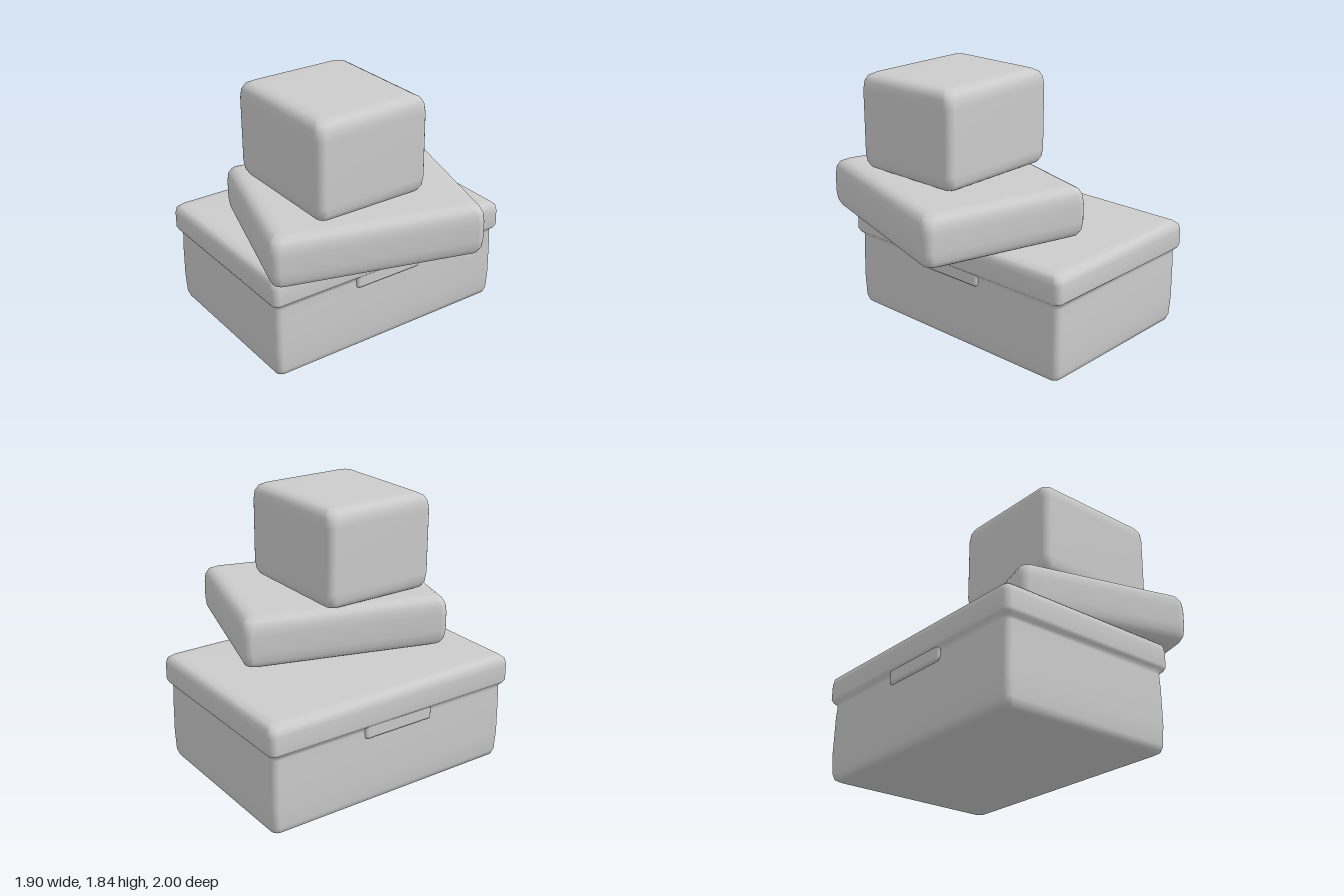
import * as THREE from 'three';
import { RoundedBoxGeometry } from 'three/addons/geometries/RoundedBoxGeometry.js';

const material = new THREE.MeshStandardMaterial({ color: 0xcccccc });

// Rounded rectangle swept up a profile of [inset, y]; an inset of 1 or more closes to the centre
function loftBox(halfX, halfZ, radius, profile) {
  const positions = [], index = [], perCorner = 6, n = perCorner * 4;
  for (const [inset, y] of profile) {
    const r = inset >= 1 ? 0 : radius;
    const hx = Math.max(0, halfX - inset - r), hz = Math.max(0, halfZ - inset - r);
    for (let c = 0; c < 4; c++) {
      const sx = c === 0 || c === 3 ? 1 : -1, sz = c < 2 ? 1 : -1;
      for (let k = 0; k < perCorner; k++) {
        const a = (c + k / (perCorner - 1)) * Math.PI / 2;
        positions.push(sx * hx + r * Math.cos(a), y, sz * hz + r * Math.sin(a));
      }
    }
  }
  for (let i = 0; i < profile.length - 1; i++) {
    for (let j = 0; j < n; j++) {
      const a = i * n + j, b = i * n + (j + 1) % n, c = a + n, d = b + n;
      index.push(a, c, b, b, c, d);
    }
  }
  const g = new THREE.BufferGeometry();
  g.setAttribute('position', new THREE.Float32BufferAttribute(positions, 3));
  g.setIndex(index);
  g.computeVertexNormals();
  return g;
}

function addMesh(parent, name, geometry, x, y, z) {
  const mesh = new THREE.Mesh(geometry, material);
  mesh.name = name;
  mesh.position.set(x, y, z);
  parent.add(mesh);
  return mesh;
}

// Soft profile for a plain carton of the given height
function cartonProfile(h) {
  const edge = [[1, 0], [0.11, 0], [0.06, 0.006], [0.025, 0.025], [0.007, 0.06], [0, 0.12]];
  return [...edge, ...edge.slice().reverse().map(([inset, y]) => [inset, h - y])];
}

export function createModel() {
  const model = new THREE.Group();
  model.name = 'boxStack';

  // Large bottom box: body and overhanging lid in one profile
  const bottom = new THREE.Group();
  bottom.name = 'bottomBox';
  bottom.position.set(-0.262, 0, -0.035);
  model.add(bottom);
  addMesh(bottom, 'bodyAndLid', loftBox(0.688, 0.965, 0.045, [
    [1, 0], [0.11, 0], [0.07, 0.005], [0.045, 0.02], [0.032, 0.06], [0.026, 0.2],
    [0.028, 0.45], [0.032, 0.54], [0.029, 0.562], [0.01, 0.58], [0, 0.6],
    [0, 0.71], [0.008, 0.75], [0.035, 0.773], [0.09, 0.781], [1, 0.781],
  ]), 0, 0, 0);

  // Finger tabs under the lid on both long sides
  for (const side of [1, -1]) {
    addMesh(bottom, side > 0 ? 'leftTab' : 'rightTab',
      new RoundedBoxGeometry(0.06, 0.13, 0.54, 4, 0.025), side * 0.646, 0.55, 0.025);
  }

  // Flat middle box, turned askew
  const middle = addMesh(model, 'middleBox',
    loftBox(0.606, 0.726, 0.06, cartonProfile(0.365)), 0.175, 0.79, 0.145);
  middle.rotation.y = -0.293;

  // Small top box
  addMesh(model, 'topBox',
    loftBox(0.48, 0.425, 0.055, cartonProfile(0.69)), 0.08, 1.15, 0.235);

  return model;
}
